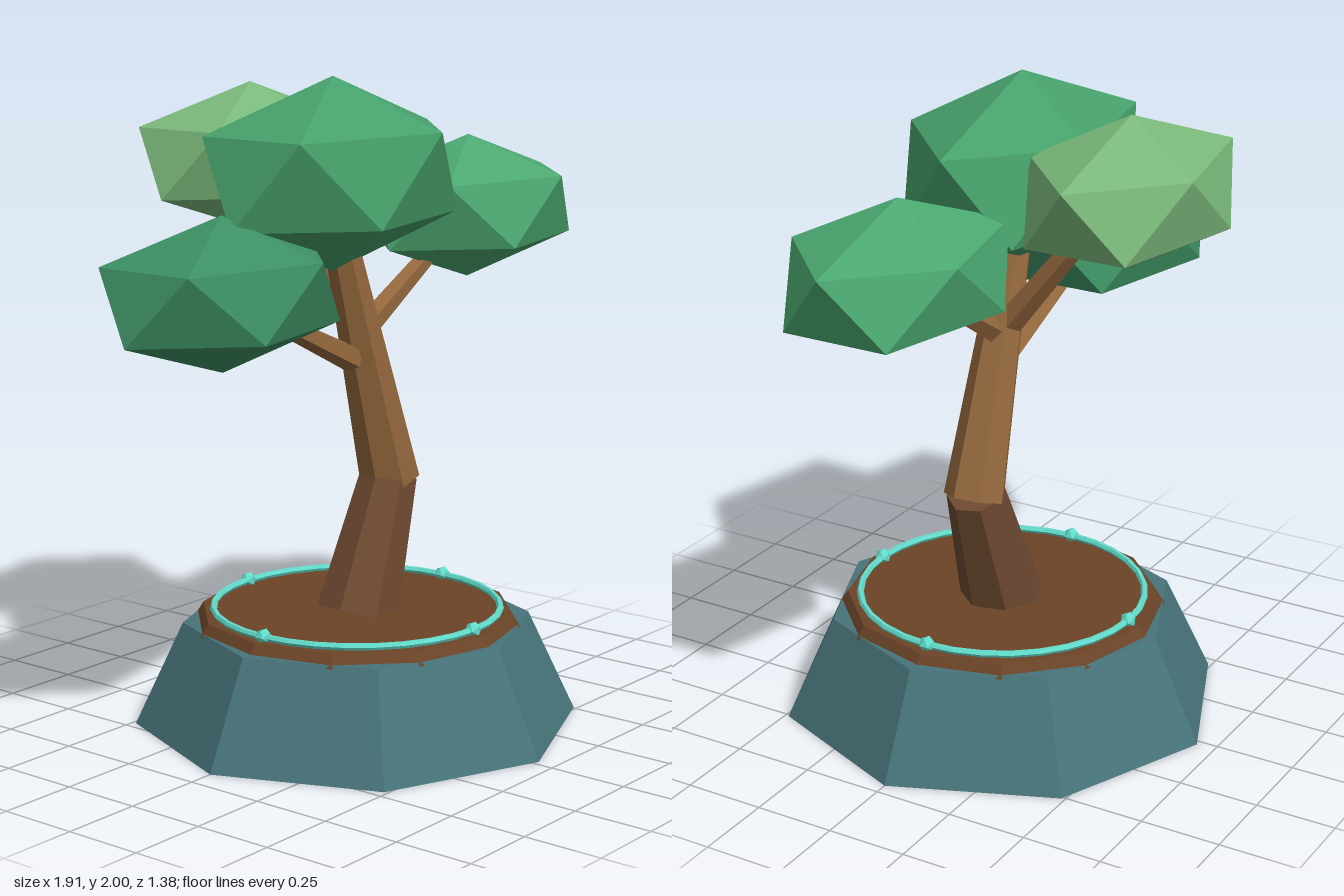
import * as THREE from 'three';

const AXIS_X = 0.02; // centre of the planter
const material = (color) => new THREE.MeshStandardMaterial({ color, flatShading: true });

const STONE = material(0x47747a);
const SOIL = material(0x6b4427);
const TRUNK = material(0x6f4a31);
const BARK = material(0x94683d);
const GLOW = material(0x62dccb);

export function createModel() {
  const model = new THREE.Group();

  const add = (name, geometry, mat, x = 0, y = 0, z = 0) => {
    const mesh = new THREE.Mesh(geometry, mat);
    mesh.name = name;
    mesh.position.set(x, y, z);
    model.add(mesh);
    return mesh;
  };

  // Tapered limb running between two points
  const limb = (name, mat, from, to, r0, r1, sides) => {
    const a = new THREE.Vector3(...from);
    const dir = new THREE.Vector3(...to).sub(a);
    const length = dir.length();
    const geometry = new THREE.CylinderGeometry(r1, r0, length, sides);
    geometry.rotateY(Math.PI);
    geometry.translate(0, length / 2, 0);
    const mesh = add(name, geometry, mat, ...from);
    mesh.quaternion.setFromUnitVectors(new THREE.Vector3(0, 1, 0), dir.normalize());
  };

  // Foliage: icosahedron standing on a vertex, stretched along each axis
  const crown = (name, color, centre, radii) => {
    const geometry = new THREE.IcosahedronGeometry(1, 0);
    geometry.rotateZ(-Math.atan(2 / (1 + Math.sqrt(5))));
    geometry.scale(...radii);
    add(name, geometry, material(color), ...centre);
  };

  // Planter and soil
  add('planter', new THREE.CylinderGeometry(0.54, 0.69, 0.32, 8), STONE, AXIS_X, 0.16, 0);
  add('soil', new THREE.CylinderGeometry(0.485, 0.51, 0.04, 12), SOIL, AXIS_X, 0.33, 0);

  // Glowing ring with four beads
  const ring = new THREE.TorusGeometry(0.445, 0.011, 6, 32);
  ring.rotateX(Math.PI / 2);
  add('glowRing', ring, GLOW, AXIS_X, 0.36, 0);
  for (let i = 0; i < 4; i++) {
    const a = (i * Math.PI) / 2;
    add('glowBead', new THREE.IcosahedronGeometry(0.026, 0), GLOW,
      AXIS_X + 0.445 * Math.sin(a), 0.362, 0.445 * Math.cos(a));
  }

  // Bent trunk
  limb('lowerTrunk', TRUNK, [0.02, 0.33, 0], [0.18, 0.75, 0], 0.13, 0.09, 7);
  limb('upperTrunk', BARK, [0.185, 0.735, 0], [-0.055, 1.5, 0], 0.095, 0.053, 7);

  // Branches
  limb('rightBranch', BARK, [0.0, 1.14, 0], [-0.42, 1.34, -0.03], 0.043, 0.026, 5);
  limb('leftBranch', BARK, [0.03, 1.21, 0], [0.45, 1.48, 0.02], 0.04, 0.026, 5);
  limb('backBranch', BARK, [0.03, 1.22, 0], [0.03, 1.66, -0.35], 0.045, 0.03, 5);

  // Crowns
  crown('centreCrown', 0x46a06a, [-0.095, 1.71, 0], [0.515, 0.29, 0.35]);
  crown('leftCrown', 0x4ba870, [0.55, 1.555, 0.025], [0.45, 0.225, 0.32]);
  crown('rightCrown', 0x3c8f62, [-0.55, 1.403, -0.04], [0.455, 0.228, 0.32]);
  crown('backCrown', 0x7ab87a, [0.03, 1.727, -0.43], [0.457, 0.228, 0.305]);

  return model;
}
